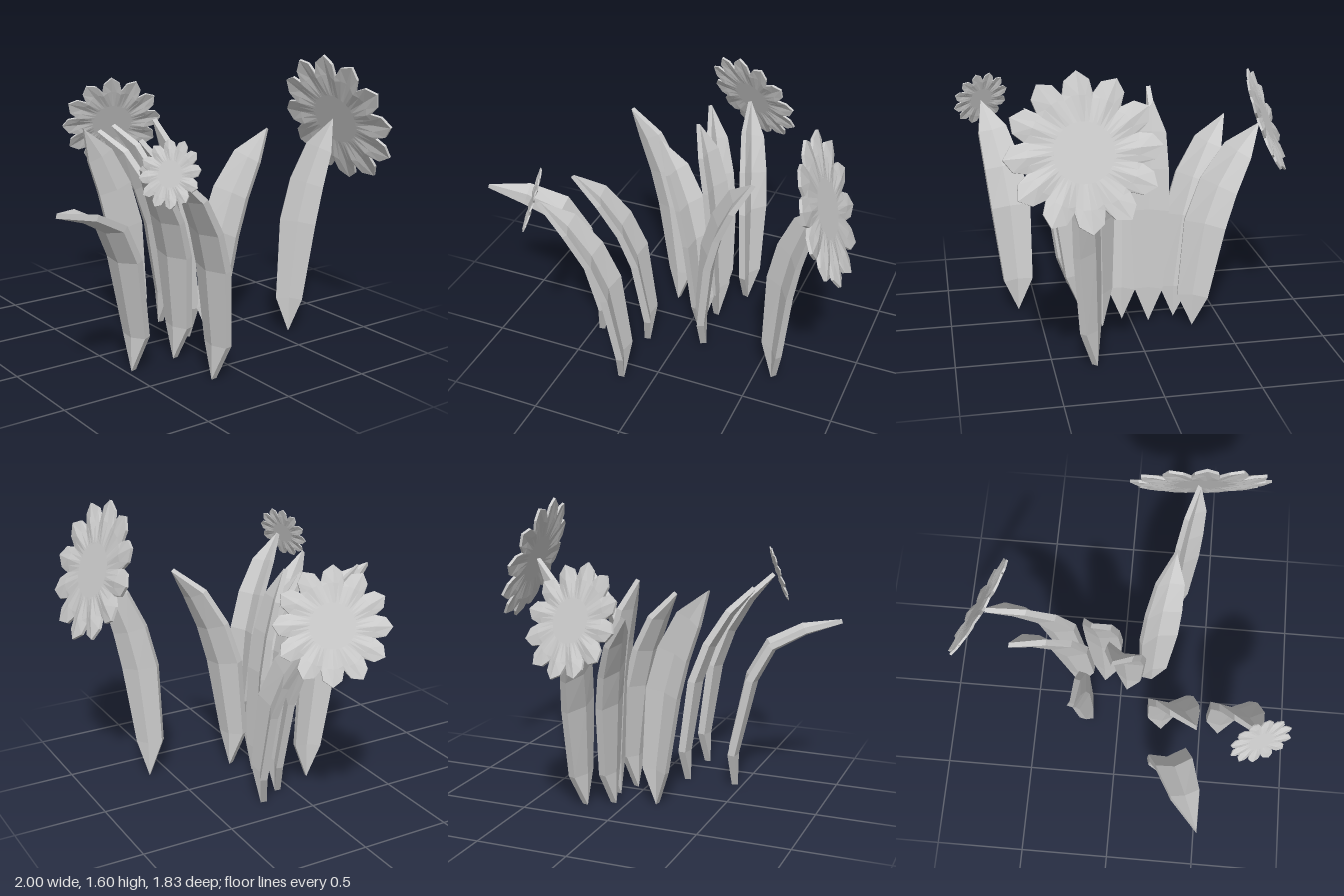
import * as THREE from 'three';

const material = new THREE.MeshStandardMaterial({ color: 0xcccccc, flatShading: true, side: THREE.DoubleSide });

// Centre line of a blade: [height fraction, lean fraction] per station
const UPRIGHT = [[0, 0], [0.165, 0], [0.53, 0.17], [0.71, 0.37], [0.87, 0.66], [1, 1]];
const DROOPING = [[0, 0.02], [0.2, 0.02], [0.65, 0.19], [0.84, 0.36], [0.935, 0.66], [1, 1]];
const WIDTHS = [0, 0.74, 1, 0.95, 0.74, 0];
const THICKNESS = [0.035, 0.04, 0.042, 0.038, 0.034, 0.025];

// Folded leaf swept along a bent line; angle turns its width about the vertical
function blade(name, [x0, z0], [x1, y1, z1], width, angle, line = UPRIGHT) {
  const a = THREE.MathUtils.degToRad(angle);
  const across = new THREE.Vector3(Math.cos(a), 0, Math.sin(a));
  const centres = line.map(([h, f]) => new THREE.Vector3(x0 + (x1 - x0) * f, y1 * h, z0 + (z1 - z0) * f));
  // the outside of the fold faces the lean
  const lean = new THREE.Vector3(x1 - x0, 0, z1 - z0);
  if (new THREE.Vector3(0, 1, 0).cross(across).dot(lean) < 0) across.negate();

  const positions = [], index = [];
  centres.forEach((c, i) => {
    const before = centres[Math.max(i - 1, 0)], after = centres[Math.min(i + 1, centres.length - 1)];
    const tangent = after.clone().sub(before).normalize();
    if (i === 0) tangent.set(0, 1, 0);
    const normal = tangent.clone().cross(across).normalize();
    const side = normal.clone().cross(tangent).normalize();
    const w = width * WIDTHS[i] / 2, t = THICKNESS[i], fold = 0.3 * w;
    const section = [[-w, -fold], [0, 0], [w, -fold], [w, t - fold], [0, t], [-w, t - fold]];
    for (const [u, v] of section) {
      const p = c.clone().addScaledVector(side, u).addScaledVector(normal, v - t / 2);
      positions.push(p.x, Math.max(p.y, 0), p.z);
    }
    if (i === 0) return;
    for (let k = 0; k < 6; k++) {
      const p = (i - 1) * 6 + k, q = (i - 1) * 6 + (k + 1) % 6;
      index.push(p, q, q + 6, p, q + 6, p + 6);
    }
  });
  const geometry = new THREE.BufferGeometry();
  geometry.setAttribute('position', new THREE.Float32BufferAttribute(positions, 3));
  geometry.setIndex(index);
  geometry.computeVertexNormals();
  const mesh = new THREE.Mesh(geometry, material);
  mesh.name = name;
  return mesh;
}

// Twelve-petalled bloom: a thin lathe whose rim is cut into pointed petals
function flower(name, centre, facing, radius) {
  const profile = [[0, -0.025], [0.38, -0.025], [0.7, -0.03], [1, -0.02], [1, 0.02], [0.7, 0.03], [0.38, 0.025], [0, 0.025]];
  const points = profile.map(([r, y]) => new THREE.Vector2(r, y));
  const geometry = new THREE.LatheGeometry(points, 48);
  const p = geometry.attributes.position;
  // per petal: tip, shoulder, notch, shoulder
  const rim = [1, 0.9, 0.74, 0.9];
  const ridge = [0.025, 0, -0.02, 0];
  const spread = [0, 0.045, 0, -0.045];
  const v = new THREE.Vector3(), up = new THREE.Vector3(0, 1, 0);
  for (let i = 0; i < p.count; i++) {
    const k = Math.floor(i / points.length) % 4, r = profile[i % points.length][0];
    v.fromBufferAttribute(p, i);
    if (r === 1) v.multiply(new THREE.Vector3(rim[k], 1, rim[k])).applyAxisAngle(up, spread[k]);
    if (r >= 0.7) v.y += ridge[k];
    if (r === 0.7 && k === 2) v.multiply(new THREE.Vector3(0.95, 1, 0.95));
    v.multiplyScalar(radius);
    p.setXYZ(i, v.x, v.y, v.z);
  }
  geometry.computeVertexNormals();
  const mesh = new THREE.Mesh(geometry, material);
  mesh.name = name;
  mesh.position.set(...centre);
  mesh.quaternion.setFromUnitVectors(up, new THREE.Vector3(...facing).normalize());
  mesh.rotateY(0.1);
  return mesh;
}

export function createModel() {
  const group = new THREE.Group();
  group.name = 'flowerClump';
  group.add(
    // plain leaves
    blade('droopingLeaf', [-0.445, 0.275], [-1, 0.97, 0.47], 0.21, 75, DROOPING),
    blade('rightLeaf', [-0.175, 0.26], [-0.5, 1.13, 0.43], 0.22, 80),
    blade('rightBackLeaf', [-0.155, -0.17], [-0.45, 1.22, -0.21], 0.2, 12),
    blade('backLeaf', [0.075, -0.25], [-0.13, 1.12, -0.58], 0.22, 96),
    blade('middleFrontLeaf', [0.06, 0.04], [-0.2, 1.16, -0.03], 0.21, 108),
    blade('middleBackLeaf', [0.11, -0.1], [-0.03, 1.24, -0.15], 0.21, 100),
    blade('leftLeaf', [0.14, 0.175], [0.44, 1.2, 0.26], 0.22, 64),
    // leaves that carry the flowers
    blade('smallFlowerStem', [-0.175, 0.61], [-0.52, 1.16, 0.76], 0.22, 84),
    blade('largeFlowerStem', [0.605, 0.285], [0.83, 1.23, 0.36], 0.2, 40),
    blade('backFlowerStem', [0.21, -0.33], [0.06, 1.11, -0.73], 0.23, 102),
    // flowers
    flower('smallFlower', [-0.55, 1.165, 0.755], [-0.87, 0.33, 0.36], 0.168),
    flower('largeFlower', [0.85, 1.23, 0.365], [0.935, 0.35, -0.08], 0.385),
    flower('backFlower', [0.07, 1.125, -0.76], [0.32, 0.38, -0.86], 0.3),
  );
  return group;
}
